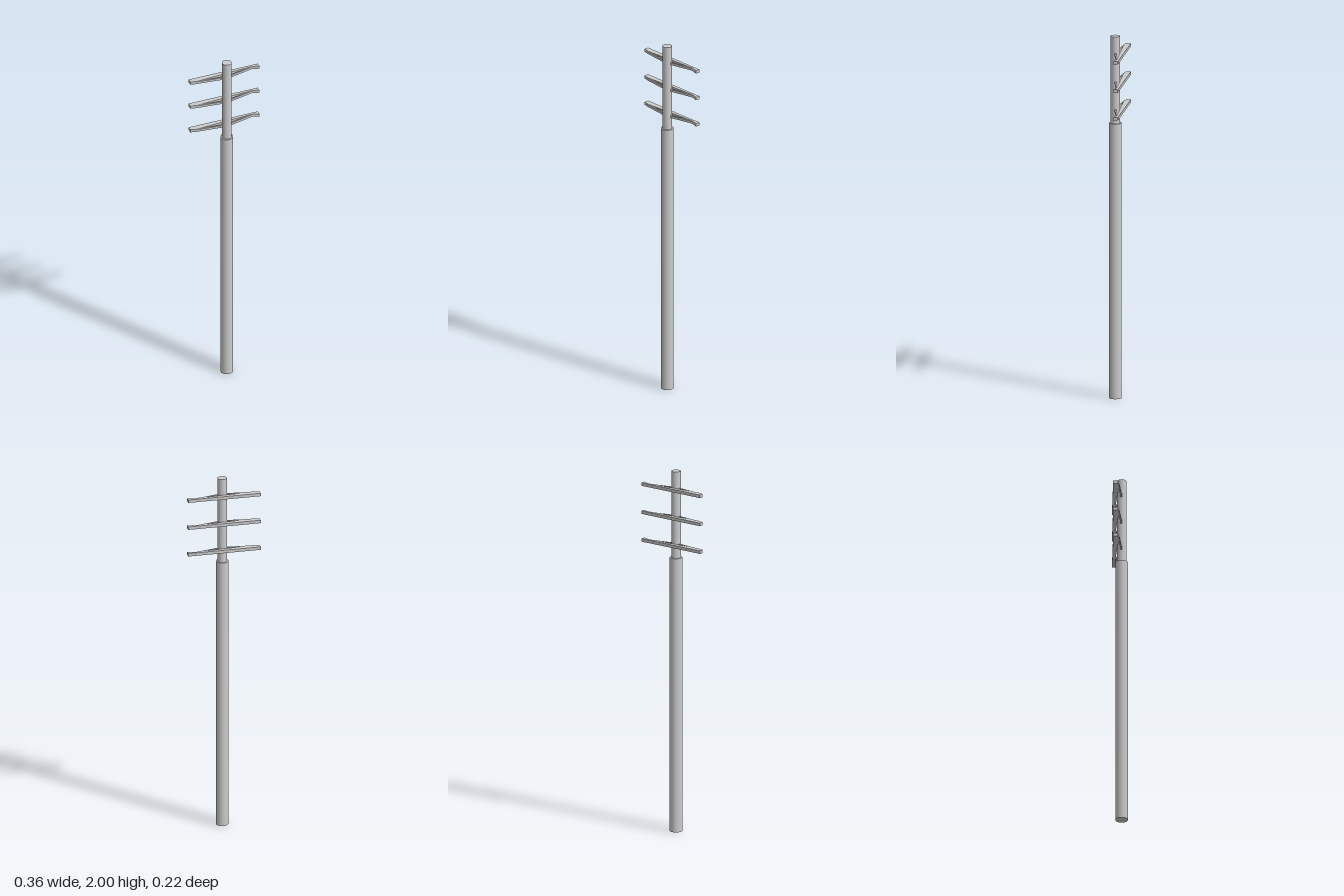
import * as THREE from 'three';

const POLE = { x: 0.019, z: 0.031 };
const ARM_ANGLE = 0.515;
const ARM_HEIGHTS = [1.592, 1.746, 1.902];

const material = new THREE.MeshStandardMaterial({ color: 0xcccccc });

// Horizontal slab from a plan outline of [x, z] points, centred on y = 0
function slab(name, outline, height) {
  const shape = new THREE.Shape(outline.map(([x, z]) => new THREE.Vector2(x, z)));
  const geometry = new THREE.ExtrudeGeometry(shape, { depth: height, bevelEnabled: false });
  geometry.rotateX(Math.PI / 2).translate(0, height / 2, 0);
  const mesh = new THREE.Mesh(geometry, material);
  mesh.name = name;
  return mesh;
}

// Bar tapering in plan between two [x, z] points
function brace(name, from, to, widthFrom, widthTo, height) {
  const a = new THREE.Vector2(...from), b = new THREE.Vector2(...to);
  const dir = b.clone().sub(a).normalize();
  const corner = (p, offset) => [p.x - dir.y * offset, p.y + dir.x * offset];
  return slab(name, [
    corner(a, -widthFrom / 2), corner(b, -widthTo / 2),
    corner(b, widthTo / 2), corner(a, widthFrom / 2),
  ], height);
}

function poleSection(name, radius, bottom, top) {
  const height = top - bottom;
  const mesh = new THREE.Mesh(new THREE.CylinderGeometry(radius, radius, height, 32), material);
  mesh.name = name;
  mesh.position.set(POLE.x, bottom + height / 2, POLE.z);
  return mesh;
}

function createCrossarm() {
  const arm = new THREE.Group();
  arm.name = 'crossarm';
  // Beam: straight back edge, front edge shaped towards the braces
  arm.add(slab('beam', [
    [-0.2, -0.0125], [0.2, -0.0125], [0.2, 0.0125], [0.163, 0.001],
    [0, 0.0095], [-0.165, 0.021], [-0.2, 0.0125],
  ], 0.017));
  // Braces running from the beam to the pole
  const hub = [0.002, 0.036];
  arm.add(brace('rightBrace', [-0.17, 0.019], hub, 0.006, 0.01, 0.013));
  arm.add(brace('leftBrace', [0.165, -0.001], hub, 0.006, 0.01, 0.013));
  arm.rotation.y = ARM_ANGLE;
  return arm;
}

export function createModel() {
  const model = new THREE.Group();
  model.name = 'utilityPole';

  // Stepped pole
  model.add(poleSection('lowerPole', 0.034, 0, 1.52));
  model.add(poleSection('upperPole', 0.0255, 1.5, 2));

  // Three identical crossarms
  for (const y of ARM_HEIGHTS) {
    const arm = createCrossarm();
    arm.position.y = y;
    model.add(arm);
  }
  return model;
}
